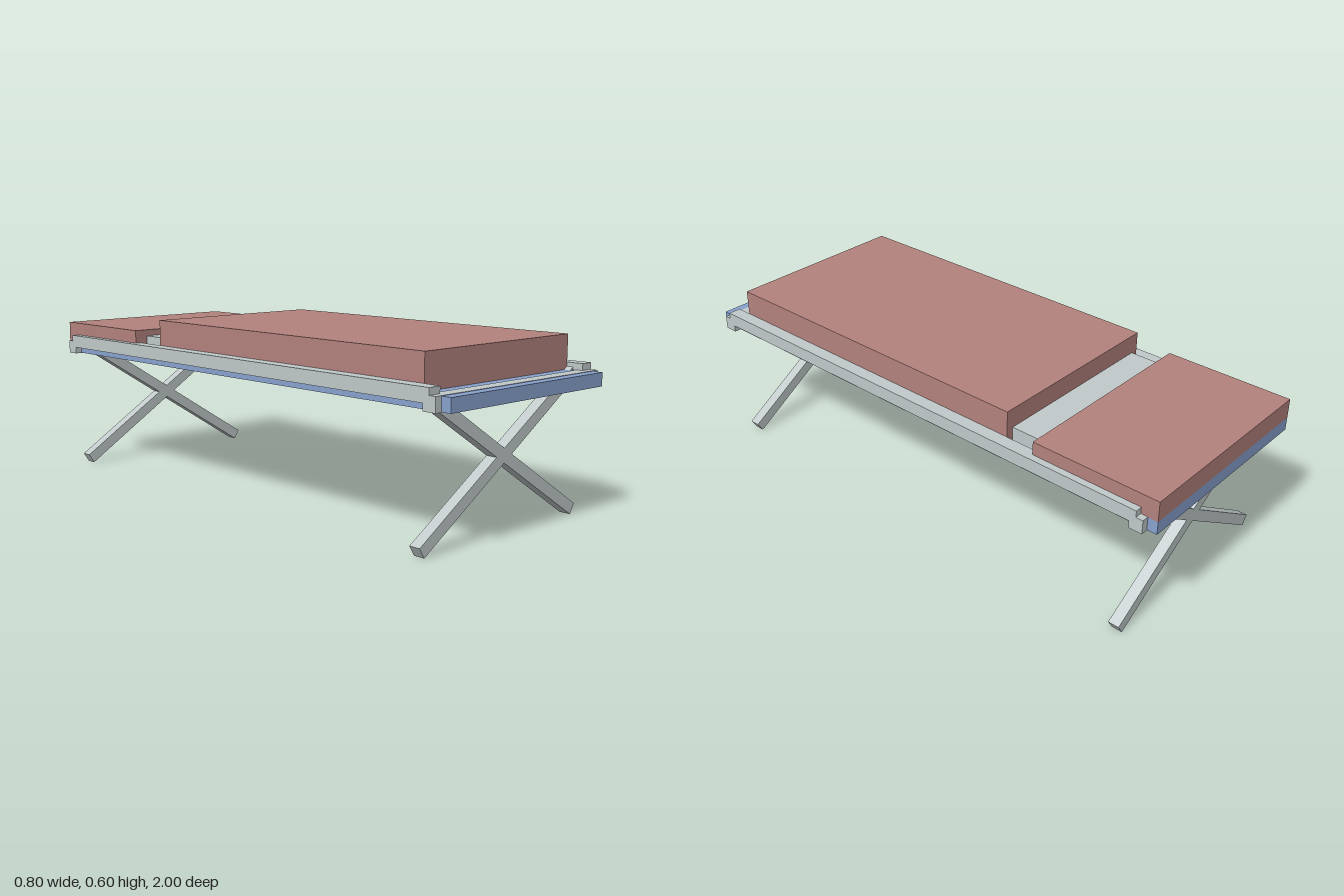
import * as THREE from 'three';

export function createModel() {
  const group = new THREE.Group();
  const makeMaterial = (name, color) => {
    const m = new THREE.MeshStandardMaterial({ color });
    m.name = name;
    return m;
  };
  const red = makeMaterial('dusty red fabric', 0xb3827d);
  const blue = makeMaterial('blue canvas', 0x88a2ce);
  const grey = makeMaterial('pale grey metal', 0xc1c9ca);

  // Box given by its lower and upper corners
  function box(name, material, [x0, y0, z0], [x1, y1, z1]) {
    const mesh = new THREE.Mesh(new THREE.BoxGeometry(x1 - x0, y1 - y0, z1 - z0), material);
    mesh.position.set((x0 + x1) / 2, (y0 + y1) / 2, (z0 + z1) / 2);
    mesh.name = name;
    group.add(mesh);
    return mesh;
  }

  // Bed base and cushions
  box('base', blue, [-0.375, 0.443, -1], [0.375, 0.489, 1]);
  box('mattress', red, [-0.352, 0.489, -0.41], [0.352, 0.606, 0.88]);
  box('pillow', red, [-0.375, 0.489, -1], [0.375, 0.56, -0.533]);
  box('cushionSupport', grey, [-0.325, 0.489, -0.57], [0.325, 0.537, -0.38]);

  // Side rails
  for (const side of [-1, 1]) {
    const rail = box(side > 0 ? 'leftRail' : 'rightRail', grey, [0.352, 0.466, -0.94], [0.4, 0.513, 0.94]);
    rail.position.x *= side;
  }

  // Crossbars and crossed legs at each end
  const legLength = 0.889, legAngle = 0.56;
  for (const end of [-1, 1]) {
    const label = end > 0 ? 'front' : 'back';
    const bar = box(label + 'Crossbar', grey, [-0.4, 0.442, 0.917], [0.4, 0.4905, 0.965]);
    bar.position.z *= end;
    for (const tilt of [-1, 1]) {
      const leg = new THREE.Mesh(new THREE.BoxGeometry(legLength, 0.04, 0.04), grey);
      leg.position.set(0, 0.2545, 0.884 * end);
      leg.rotation.z = tilt * legAngle;
      leg.name = label + (tilt > 0 ? 'RisingLeg' : 'FallingLeg');
      group.add(leg);
    }
  }
  return group;
}
